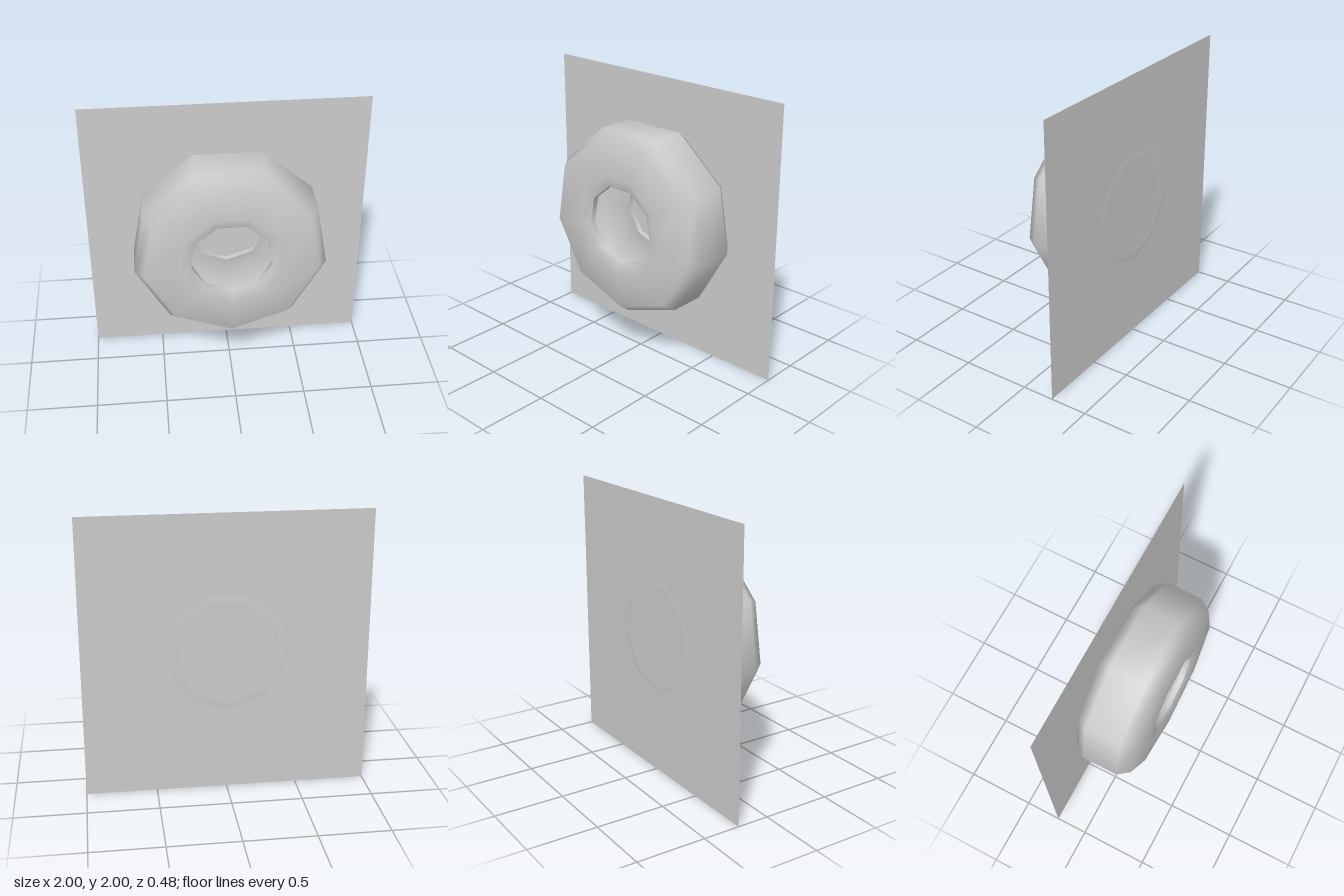
import * as THREE from 'three';

const SIDES = 9;

// Revolve a (radius, depth) profile around the z axis, with a corner pointing down
function revolve(name, profile, material) {
  const points = profile.map(([r, z]) => new THREE.Vector2(r, z));
  const geometry = new THREE.LatheGeometry(points, SIDES);
  geometry.rotateX(Math.PI / 2);
  const mesh = new THREE.Mesh(geometry, material);
  mesh.name = name;
  return mesh;
}

// Extend a half profile (z >= 0, listed from the middle outward) to both sides
function mirrored(half) {
  return [...half.map(([r, z]) => [r, -z]).reverse(), ...half];
}

export function createModel() {
  const model = new THREE.Group();
  model.name = 'ringOnPanel';
  const grey = new THREE.MeshStandardMaterial({ color: 0xcccccc });
  const thin = new THREE.MeshStandardMaterial({ color: 0xcccccc, side: THREE.DoubleSide });

  // Hollow ring, open towards its centre
  const tyre = new THREE.Group();
  tyre.name = 'tyre';
  tyre.position.y = 1.023;

  // Tread, shoulders and sidewalls
  const outer = mirrored([[0.688, 0.13], [0.625, 0.215], [0.366, 0.24], [0.288, 0.215]]);
  tyre.add(revolve('outerShell', outer, grey));

  // Hollow inside
  const inner = mirrored([[0.63, 0.11], [0.57, 0.185], [0.366, 0.19], [0.288, 0.175]]);
  tyre.add(revolve('innerLiner', inner.reverse(), grey));

  // Narrow bead around each opening
  for (const [name, z0, z1] of [['frontBead', 0.215, 0.175], ['backBead', -0.175, -0.215]]) {
    tyre.add(revolve(name, [[0.288, z0], [0.288, z1]], grey));
  }
  model.add(tyre);

  // Flat square panel behind the ring, just grazed by its back sidewall
  const panel = new THREE.Mesh(new THREE.PlaneGeometry(2, 2), thin);
  panel.name = 'backPanel';
  panel.position.set(0, 1, -0.234);
  model.add(panel);

  return model;
}
